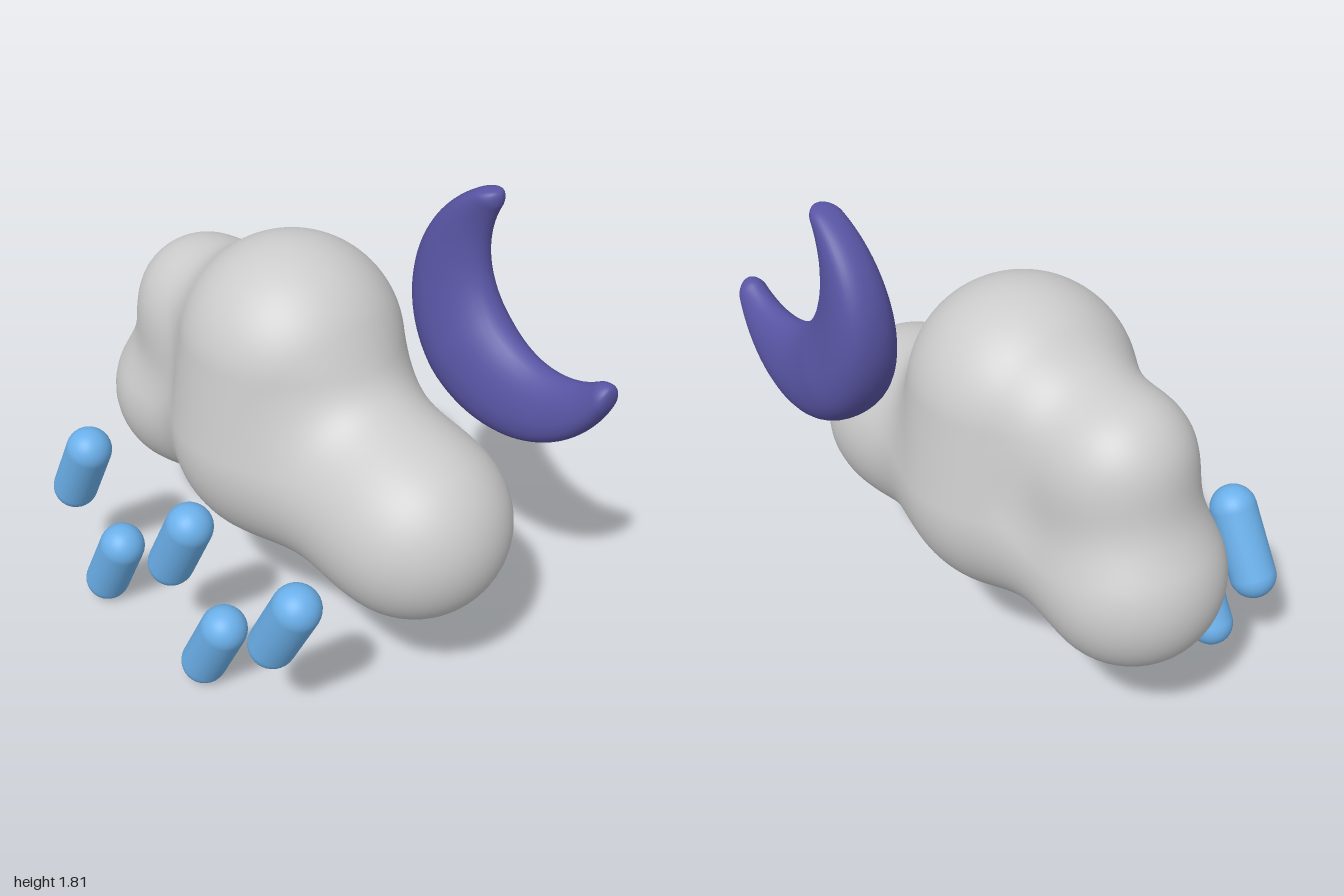
import * as THREE from 'three';

const material = (color) => new THREE.MeshStandardMaterial({ color, roughness: 0.8 });

// Cloud lobes: spheres, or round cones when a top height and radius are given.
// Each one melts into those before it over its blend distance.
const MID_Z = -0.035;
const lobe = (blend, x, y, r, y2 = y, r2 = r) => {
  const lean = y2 > y ? Math.tan(Math.asin((r - r2) / (y2 - y))) : 0;
  return { blend, x, y, r, y2, r2, lean };
};
const LOBES = [
  lobe(0, -0.09, 0.84, 0.45, 1.175, 0.405), // tall middle
  lobe(0.36, 0.56, 0.745, 0.345),           // right-hand puff
  lobe(0.24, -0.672, 0.72, 0.328),          // lower left puff
  lobe(0.18, -0.585, 1.13, 0.265),          // upper left puff
];

function lobeDistance(p, { x, y, r, y2, r2, lean }) {
  const dx = p.x - x, dz = p.z - MID_Z;
  const cy = THREE.MathUtils.clamp(p.y - Math.hypot(dx, dz) * lean, y, y2);
  const radius = y2 > y ? THREE.MathUtils.mapLinear(cy, y, y2, r, r2) : r;
  return Math.hypot(dx, p.y - cy, dz) - radius;
}

// Distance to the softly merged lobes
function cloudDistance(p) {
  const [core, ...puffs] = LOBES;
  return puffs.reduce((d, puff) => {
    const e = lobeDistance(p, puff);
    const h = Math.max(puff.blend - Math.abs(d - e), 0) / puff.blend;
    return Math.min(d, e) - h * h * puff.blend * 0.25;
  }, lobeDistance(p, core));
}

// A dense sphere shrunk onto the merged lobes
function cloudGeometry() {
  const geo = new THREE.SphereGeometry(1, 160, 110);
  const pos = geo.attributes.position, nor = geo.attributes.normal;
  const centre = new THREE.Vector3(-0.07, 0.86, MID_Z);
  const dir = new THREE.Vector3(), p = new THREE.Vector3(), n = new THREE.Vector3();
  const e = 0.002;
  const slope = (axis) => {
    const q = p.clone();
    q[axis] += e;
    const hi = cloudDistance(q);
    q[axis] -= 2 * e;
    return hi - cloudDistance(q);
  };
  for (let i = 0; i < pos.count; i++) {
    dir.fromBufferAttribute(pos, i).normalize();
    let t = 1.5;
    for (let s = 0; s < 80; s++) {
      const d = cloudDistance(p.copy(centre).addScaledVector(dir, t));
      if (d < 1e-4) break;
      t -= d;
    }
    pos.setXYZ(i, p.x, p.y, p.z);
    n.set(slope('x'), slope('y'), slope('z')).normalize();
    nor.setXYZ(i, n.x, n.y, n.z);
  }
  return geo;
}

// Crescent: oval sections strung between an outer and an inner arc
function moonGeometry() {
  const rings = 90, sides = 36, verts = [], index = [];
  const arcPoint = (cx, cy, r, deg) => {
    const a = THREE.MathUtils.degToRad(deg);
    return new THREE.Vector2(cx + r * Math.cos(a), cy + r * Math.sin(a));
  };
  for (let i = 0; i <= rings; i++) {
    const t = Math.sin((i / rings - 0.5) * Math.PI);
    const outer = arcPoint(0.571, 1.397, 0.453, 227 + 119 * t);
    const inner = arcPoint(0.75, 1.59, 0.34, 227 + 82 * t);
    const mid = outer.clone().add(inner).multiplyScalar(0.5);
    const half = outer.sub(inner).multiplyScalar(0.5);
    const cap = Math.max(0, (Math.abs(t) - 0.92) / 0.08);
    const round = Math.sqrt(Math.max(0, 1 - cap * cap)); // rounded tips
    const depth = 0.14 - 0.093 * Math.abs(t) ** 1.35;
    for (let j = 0; j < sides; j++) {
      const a = (j / sides) * Math.PI * 2;
      // thickest part sits towards the outer arc
      const c = (Math.cos(a) + 0.25 * Math.sin(a) ** 2) * round;
      verts.push(mid.x + half.x * c, mid.y + half.y * c, -0.48 + depth * round * Math.sin(a));
      if (i < rings) {
        const k = (j + 1) % sides, r0 = i * sides, r1 = r0 + sides;
        index.push(r0 + j, r1 + j, r0 + k, r1 + j, r1 + k, r0 + k);
      }
    }
  }
  const geo = new THREE.BufferGeometry();
  geo.setAttribute('position', new THREE.Float32BufferAttribute(verts, 3));
  geo.setIndex(index);
  geo.computeVertexNormals();
  return geo;
}

export function createModel() {
  const model = new THREE.Group();
  model.name = 'rainyNightCloud';

  const cloud = new THREE.Mesh(cloudGeometry(), material(0xcccccc));
  cloud.name = 'cloud';
  const moon = new THREE.Mesh(moonGeometry(), material(0x5854a3));
  moon.name = 'crescentMoon';
  model.add(cloud, moon);

  // Slanted raindrops in two rows
  const rain = new THREE.Group();
  rain.name = 'rain';
  const dropGeo = new THREE.CapsuleGeometry(0.087, 0.268, 12, 32);
  const dropMat = material(0x6bb0ea);
  const drops = [[-0.678, 0.562], [-0.047, 0.562], [0.533, 0.562], [-0.5, 0.206], [0.132, 0.206]];
  drops.forEach(([x, y], i) => {
    const drop = new THREE.Mesh(dropGeo, dropMat);
    drop.name = `raindrop${i + 1}`;
    drop.position.set(x, y, 0.531);
    drop.rotation.z = -0.485;
    rain.add(drop);
  });
  model.add(rain);
  return model;
}
